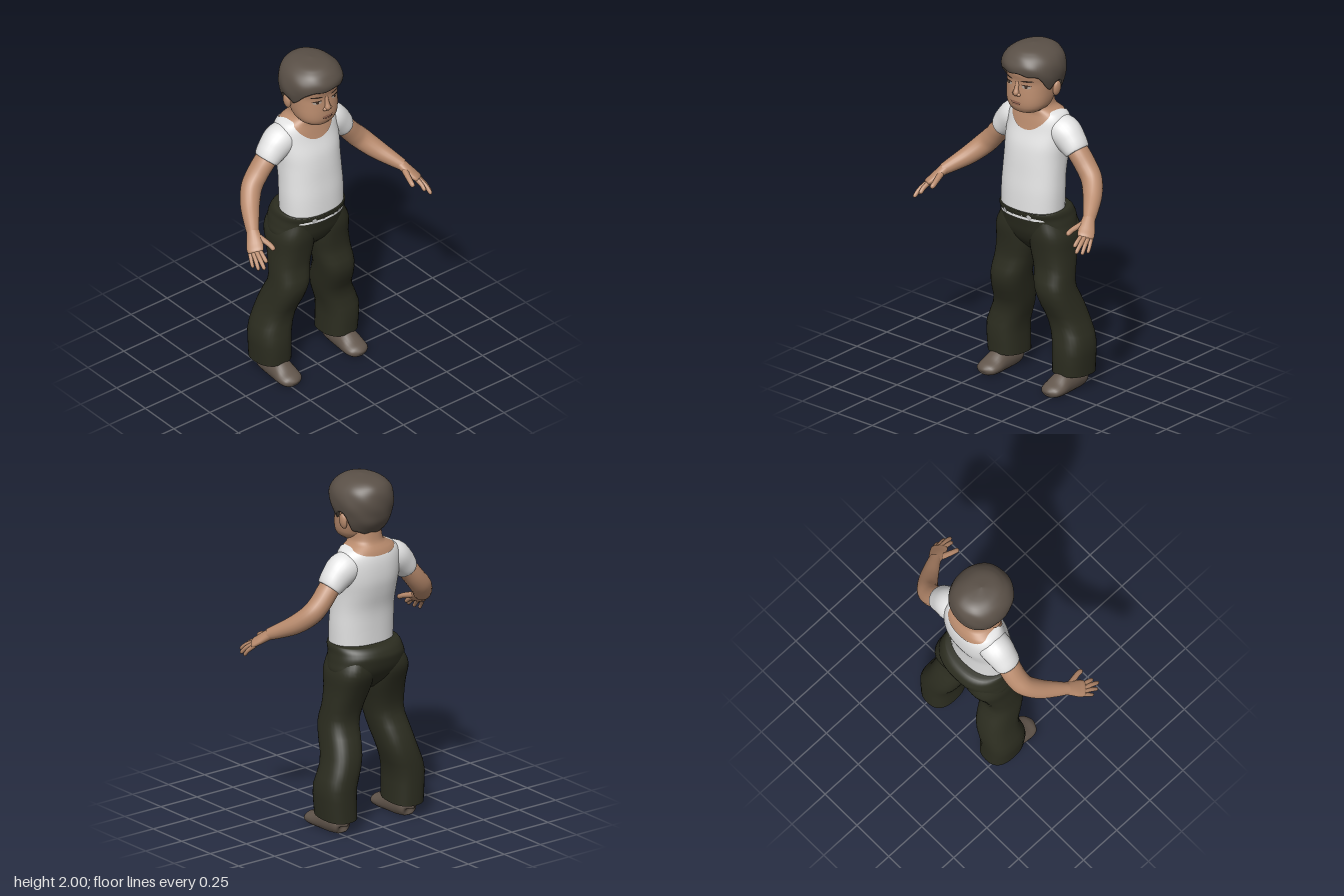
import * as THREE from 'three';

const paint = (name, color, side = THREE.FrontSide) => {
  const m = new THREE.MeshStandardMaterial({ color, side });
  m.name = name;
  return m;
};

// Smooth lookup in a table whose rows start with an ascending key
function at(rows, k) {
  const last = rows.length - 1;
  k = Math.min(Math.max(k, rows[0][0]), rows[last][0]);
  let i = 0;
  while (i < last - 1 && k > rows[i + 1][0]) i++;
  const h = rows[i + 1][0] - rows[i][0], t = (k - rows[i][0]) / h;
  const slope = (j, c) => {
    const a = rows[Math.max(j - 1, 0)], b = rows[Math.min(j + 1, last)];
    return (b[c] - a[c]) / (b[0] - a[0]) * h;
  };
  return rows[i].map((v, c) => {
    if (c === 0) return k;
    const w = rows[i + 1][c], m0 = slope(i, c), m1 = slope(i + 1, c);
    return v + t * m0 + t * t * (3 * (w - v) - 2 * m0 - m1) + t * t * t * (2 * (v - w) + m0 + m1);
  });
}

// Joins equal-length rings of points into one smooth skin
function skinRings(rings) {
  const n = rings[0].length, pos = rings.flat(2), index = [];
  for (let i = 0; i < rings.length - 1; i++) for (let j = 0; j < n; j++) {
    const a = i * n + j, b = i * n + (j + 1) % n;
    index.push(a, b, a + n, b, b + n, a + n);
  }
  const g = new THREE.BufferGeometry();
  g.setAttribute('position', new THREE.Float32BufferAttribute(pos, 3));
  g.setIndex(index);
  g.computeVertexNormals();
  return g;
}

// Upright form; rows are [y, centreX, halfWidth, frontZ, backZ], trimmed by lo(angle) and hi(angle)
function shell(rows, { lo, hi, p = 2.3, off = 0, n = 48, steps = 24, rim = 0, lump = () => 0 } = {}) {
  const rings = [];
  for (let i = rim ? -1 : 0; i <= steps; i++) {
    const ring = [];
    for (let j = 0; j < n; j++) {
      const a = j / n * Math.PI * 2, s = Math.sin(a), c = Math.cos(a);
      const y0 = lo ? lo(a) : rows[0][0], y1 = hi ? hi(a) : rows[rows.length - 1][0];
      const y = y0 + (y1 - y0) * Math.sin(Math.max(i, 0) / steps * Math.PI / 2);
      const [, cx, rx, zf, zb] = at(rows, y);
      const k = (i < 0 ? rim : 1) * (1 + lump(a, y));
      const e = v => Math.sign(v) * Math.abs(v) ** (2 / p) * k;
      ring.push([cx + Math.max(rx + off, 0) * e(s), y, (zf + zb) / 2 + Math.max((zf - zb) / 2 + off, 0) * e(c)]);
    }
    rings.push(ring);
  }
  return skinRings(rings);
}

// Limb along a path; rows are [x, y, z, radiusAlongRef, radiusAcross]
function sweep(rows, ref = [0, 0, 1], n = 20, k = 5) {
  const keyed = rows.map((r, i) => [i, ...r]), end = rows.length - 1, rings = [];
  const centre = t => new THREE.Vector3(...at(keyed, t).slice(1, 4));
  for (let i = 0; i <= end * k; i++) {
    const t = i / k, [, x, y, z, ru, rv] = at(keyed, t);
    const dir = centre(t + 0.05).sub(centre(t - 0.05)).normalize();
    const u = new THREE.Vector3(...ref).addScaledVector(dir, -dir.dot(new THREE.Vector3(...ref))).normalize();
    const v = dir.clone().cross(u);
    rings.push(Array.from({ length: n }, (_, j) => {
      const a = j / n * Math.PI * 2, c = Math.cos(a) * Math.max(ru, 0), s = Math.sin(a) * Math.max(rv, 0);
      return [x + u.x * c + v.x * s, y + u.y * c + v.y * s, z + u.z * c + v.z * s];
    }));
  }
  return skinRings(rings);
}

// Thin oval laid on the front of an upright form
function patch(rows, x, y, w, h, lift, tilt = 0, p = 2.3, sides = 20) {
  const g = new THREE.CircleGeometry(1, sides).scale(w, h, 1).rotateZ(tilt).translate(x, y, 0);
  const q = g.attributes.position;
  for (let i = 0; i < q.count; i++) {
    const [, cx, rx, zf, zb] = at(rows, q.getY(i));
    const f = Math.max(1 - Math.abs((q.getX(i) - cx) / rx) ** p, 0) ** (1 / p);
    q.setZ(i, (zf + zb) / 2 + (zf - zb) / 2 * f + lift);
  }
  g.computeVertexNormals();
  return g;
}

function mirrored(g) {
  const m = g.clone().scale(-1, 1, 1), ix = m.index.array;
  for (let i = 0; i < ix.length; i += 3) [ix[i], ix[i + 1]] = [ix[i + 1], ix[i]];
  m.computeVertexNormals();
  return m;
}

const BODY = [
  [1.0, 0, .182, .078, -.185], [1.15, 0, .184, .072, -.19], [1.25, 0, .181, .062, -.198], [1.35, 0, .181, .052, -.222],
  [1.42, 0, .186, .04, -.235], [1.5, 0, .188, .015, -.236], [1.56, 0, .18, 0, -.228], [1.6, 0, .152, -.01, -.212],
  [1.617, 0, .11, -.006, -.198], [1.64, 0, .092, 0, -.188], [1.72, 0, .086, 0, -.178]];
const HEAD = [
  [1.612, 0, .03, .03, -.05], [1.63, 0, .082, .068, -.09], [1.66, 0, .115, .084, -.13], [1.7, 0, .128, .088, -.155],
  [1.76, 0, .135, .084, -.185], [1.81, 0, .14, .079, -.2], [1.86, 0, .142, .088, -.2], [1.93, 0, .12, .07, -.19], [1.97, 0, 0, -.06, -.06]];
const HAIR = [
  [1.68, 0, .115, .05, -.175], [1.75, 0, .145, .07, -.22], [1.8, 0, .16, .09, -.233], [1.85, 0, .17, .108, -.24], [1.9, 0, .166, .118, -.238],
  [1.94, 0, .148, .1, -.226], [1.97, 0, .115, .07, -.2], [1.99, 0, .07, .025, -.15], [2, 0, 0, -.06, -.06]];
const HAIRLINE = [[0, 1.87], [.5, 1.865], [.85, 1.85], [1.1, 1.795], [1.3, 1.77], [1.45, 1.8], [1.8, 1.8], [2, 1.715], [2.5, 1.695], [3.15, 1.69]];
const HIPS = [
  [.785, 0, .06, -.03, -.15], [.84, 0, .16, .02, -.21], [.9, 0, .228, .05, -.25], [.96, 0, .222, .066, -.268],
  [1.0, 0, .212, .076, -.268], [1.045, 0, .2, .088, -.23], [1.05, 0, .175, .06, -.18]];
const LEG = [
  [.08, .23, .1, -.005, -.25], [.25, .235, .105, 0, -.25], [.3, .225, .106, -.013, -.25], [.4, .192, .103, -.013, -.24], [.5, .172, .103, .03, -.21],
  [.6, .155, .105, .054, -.166], [.7, .14, .11, .03, -.18], [.8, .122, .118, .036, -.215], [.9, .117, .118, .05, -.25], [.99, .105, .09, .045, -.235]];

export function createModel() {
  const group = new THREE.Group();
  const skin = paint('skin', 0xb98b6d), hairMat = paint('hair', 0x5a5047, THREE.DoubleSide);
  const white = paint('shirt white', 0xe4e4e4, THREE.DoubleSide), dark = paint('trouser green', 0x2c2d20, THREE.DoubleSide);
  const shoeMat = paint('shoe brown', 0x62564c), brown = paint('brow brown', 0x3a2a20);
  const eyeMat = paint('eye grey', 0xa89a8e), lip = paint('lip', 0x9b6956);
  const add = (name, g, m) => {
    const mesh = new THREE.Mesh(g, m);
    mesh.name = name;
    group.add(mesh);
  };
  const pair = (name, g, m) => {
    add(name + 'Left', g, m);
    add(name + 'Right', mirrored(g), m);
  };

  // Torso and neck
  add('neckAndChest', shell(BODY, { lo: () => 1.42, off: -.001 }), skin);
  add('shirt', shell(BODY, {
    off: .005, steps: 32, n: 64,
    hi: a => 1.614 - (Math.cos(a) > 0 ? .109 * Math.cos(a) ** 4 : .045 * Math.cos(a) ** 2),
  }), white);
  pair('sleeve', sweep([[.1, 1.525, -.117, .085, .07], [.17, 1.497, -.117, .092, .092], [.225, 1.452, -.116, .083, .083],
    [.266, 1.408, -.115, .073, .065], [.262, 1.412, -.115, .055, .05]], [0, 0, 1], 28), white);

  // Arms and hands
  pair('arm', sweep([[.2, 1.47, -.115, .06, .055], [.27, 1.402, -.117, .064, .057], [.33, 1.33, -.117, .062, .058], [.382, 1.272, -.1, .058, .06],
    [.438, 1.212, -.04, .053, .054], [.488, 1.167, .035, .043, .042], [.522, 1.138, .09, .034, .032]]), skin);
  const across = [.8, -.3, -.5];
  pair('palm', sweep([[.512, 1.148, .075, .034, .03], [.532, 1.12, .112, .042, .026], [.55, 1.096, .142, .047, .022],
    [.567, 1.076, .17, .042, .016], [.572, 1.07, .178, 0, 0]], across), skin);
  const fingers = {
    thumb: [[.508, 1.125, .125], [.49, 1.105, .19], [.484, 1.085, .232], .015],
    indexFinger: [[.543, 1.09, .155], [.55, 1.068, .21], [.551, 1.038, .25], .0125],
    middleFinger: [[.558, 1.085, .155], [.574, 1.053, .22], [.58, 1.014, .268], .0125],
    ringFinger: [[.571, 1.078, .15], [.59, 1.043, .202], [.6, 1.003, .24], .012],
    littleFinger: [[.58, 1.075, .135], [.6, 1.038, .172], [.608, 1.002, .2], .011],
  };
  for (const [name, [a, b, c, r]] of Object.entries(fingers)) {
    const near = b.map((v, i) => v + (c[i] - v) * .8);
    pair(name, sweep([[...a, r * 1.2, r * 1.2], [...b, r, r], [...near, r * .85, r * .85], [...c, 0, 0]], across, 10, 4), skin);
  }

  // Trousers with flared legs
  add('trouserSeat', shell(HIPS, { steps: 32 }), dark);
  pair('trouserLeg', shell(LEG, { p: 2.5, n: 32, lo: a => .085 + .012 * Math.cos(a) }), dark);
  for (const [x, w] of [[-.085, .016], [.085, .016], [-.025, .006], [.04, .007]])
    add('shirtTuck', patch(HIPS, x, 1.022, w, w * 1.1, .006, .4, 2.3, 6), white);

  // Shoes with flat soles
  const shoe = sweep([[.23, .04, -.2, 0, 0], [.23, .045, -.19, .05, .05], [.23, .05, -.12, .06, .072], [.23, .045, -.04, .064, .072],
    [.23, .032, .03, .07, .045], [.23, .026, .075, .06, .033], [.23, .024, .097, .03, .018], [.23, .022, .103, 0, 0]], [1, 0, 0], 24);
  const sp = shoe.attributes.position;
  for (let i = 0; i < sp.count; i++) sp.setY(i, Math.max(sp.getY(i), 0));
  shoe.computeVertexNormals();
  pair('shoe', shoe, shoeMat);

  // Head, ears and nose
  add('head', shell(HEAD, { steps: 32 }), skin);
  pair('ear', new THREE.SphereGeometry(1, 16, 12).scale(.017, .045, .028).rotateZ(-.12).translate(.145, 1.758, -.085), skin);
  add('noseBridge', sweep([[0, 1.81, .07, .012, .012], [0, 1.77, .082, .014, .014], [0, 1.742, .088, .018, .018], [0, 1.728, .084, 0, 0]], [1, 0, 0]), skin);
  pair('nostril', new THREE.SphereGeometry(1, 12, 8).scale(.013, .011, .014).translate(.016, 1.738, .084), skin);

  // Face details
  pair('eye', patch(HEAD, .06, 1.79, .025, .01, .003), eyeMat);
  pair('iris', patch(HEAD, .06, 1.791, .009, .009, .005), brown);
  pair('upperLid', patch(HEAD, .061, 1.799, .029, .004, .006, -.05), brown);
  pair('eyebrow', patch(HEAD, .063, 1.824, .036, .0055, .004, .06), brown);
  add('upperLip', patch(HEAD, 0, 1.693, .038, .005, .004), lip);
  add('lowerLip', patch(HEAD, 0, 1.68, .03, .005, .004), lip);
  add('mouthLine', patch(HEAD, 0, 1.687, .036, .0015, .006), brown);

  // Hair cap with a fringe, sideburns and a low nape
  add('hair', shell(HAIR, {
    p: 2.15, n: 72, steps: 32, rim: .86,
    lo: a => at(HAIRLINE, a > Math.PI ? 2 * Math.PI - a : a)[1] + .005 * Math.sin(a * 9),
    lump: (a, y) => .012 * Math.sin(5 * a + y * 22) * Math.sin(y * 30 + 2 * a),
  }), hairMat);
  return group;
}
